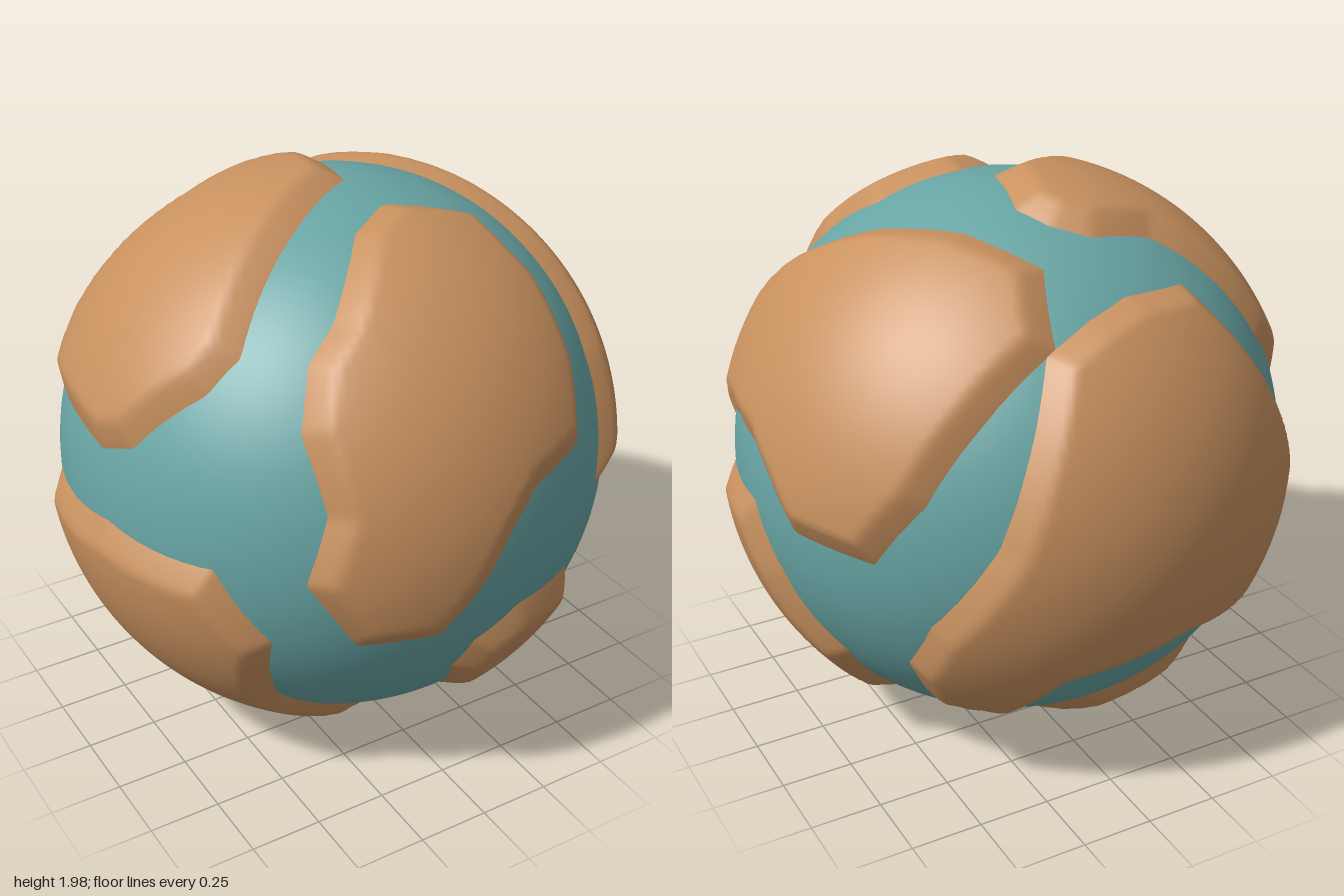
import * as THREE from 'three';
import { mergeVertices } from 'three/addons/utils/BufferGeometryUtils.js';

const SEA = 0.945, LAND = 0.993, BEVEL = 0.09;
const rad = THREE.MathUtils.degToRad;

// Points given on a disc facing (azimuth, elevation), lifted onto the sea sphere
function lift(azimuth, elevation, flat) {
  const a = rad(azimuth), e = rad(elevation);
  const right = new THREE.Vector3(Math.cos(a), 0, -Math.sin(a));
  const out = new THREE.Vector3(Math.sin(a) * Math.cos(e), Math.sin(e), Math.cos(a) * Math.cos(e));
  const up = out.clone().cross(right);
  const points = [];
  for (let i = 0; i < flat.length; i += 2) {
    const [u, v] = [flat[i], flat[i + 1]];
    const w = Math.sqrt(Math.max(0, SEA * SEA - u * u - v * v));
    points.push(new THREE.Vector3().addScaledVector(right, u).addScaledVector(up, v)
      .addScaledVector(out, w).normalize());
  }
  return points;
}
const front = (...p) => lift(0, 0, p);
const side = (...p) => lift(90, 0, p);
const top = (...p) => lift(0, 90, p);
const bottom = (...p) => lift(0, -90, p);
const backHigh = (...p) => lift(215, 25, p);
const backLow = (...p) => lift(145, -30, p);

// Coastline of each raised plate
const plates = {
  frontPlate: [
    ...front(-0.31, 0.72, -0.42, 0.63, -0.5, 0.46, -0.48, 0.23, -0.55, 0, -0.4, -0.25, -0.14, -0.255,
      0, -0.07, 0.1, 0.09, 0.2, 0.19, 0.43, 0.23, 0.49, 0.46, 0.47, 0.67),
    ...top(0.42, -0.4, 0.36, -0.25, 0.06, -0.215, -0.1, -0.31),
  ],
  upperLeftSidePlate: [
    ...side(-0.75, 0, -0.53, -0.02, -0.39, 0.15, -0.19, 0.21, 0.01, 0.2, 0.14, 0.12, 0.27, -0.01,
      0.56, -0.02, 0.67, 0.2, 0.7, 0.44),
    ...top(0.2, 0.68, 0.13, 0.48, 0.28, 0.24, 0.45, -0.03, 0.57, -0.29),
    ...front(0.63, 0.4),
  ],
  lowerLeftSidePlate: [
    ...front(0.06, -0.72, -0.03, -0.48, 0.01, -0.35, 0.17, -0.25, 0.43, -0.245, 0.51, -0.39, 0.62, -0.435),
    ...side(-0.51, -0.39, -0.44, -0.21, -0.29, 0, 0.02, 0, 0.14, -0.21, 0.29, -0.49),
    ...bottom(0.554, -0.23, 0.2, 0.14, 0.15, 0.27),
  ],
  backPlate: [
    ...backHigh(-0.58, 0.376, -0.43, 0.41, -0.28, 0.42, -0.04, 0.36, 0.11, 0.01, 0.3, -0.365,
      0.165, -0.62, 0.05, -0.76),
    ...backLow(0.62, -0.055, 0.3, -0.044, 0.094, -0.276, -0.18, -0.19, -0.22, 0.04, -0.127, 0.26, 0.09, 0.54),
  ],
  upperRightSidePlate: [
    ...top(-0.08, 0.41, 0.03, 0.34, 0.09, 0.23, 0.03, -0.03, -0.25, -0.2, -0.57, -0.42),
    ...front(-0.68, 0.52, -0.86, 0.31),
    ...backHigh(0.8, 0.05, 0.425, -0.127, 0.265, 0.05),
    ...top(-0.31, 0.39),
  ],
  lowerRightSidePlate: [
    ...front(-0.93, 0.03, -0.76, 0.01, -0.62, -0.25, -0.6, -0.4, -0.52, -0.59, -0.15, -0.8),
    ...bottom(-0.07, 0.19, -0.45, 0.05, -0.74, -0.1),
    ...backHigh(0.425, -0.585, 0.58, -0.32),
  ],
  bottomPlate: bottom(0.18, -0.15, 0.03, 0.01, -0.25, -0.02, -0.49, -0.12, -0.64, -0.42, -0.47, -0.53,
    -0.28, -0.66, 0.03, -0.63, 0.1, -0.4),
};

// Signed distance to a flat polygon, positive inside
function insideDistance(x, y, poly) {
  let best = Infinity, inside = false;
  for (let i = 0, j = poly.length - 1; i < poly.length; j = i++) {
    const [ax, ay] = poly[i], [bx, by] = poly[j];
    const dx = bx - ax, dy = by - ay;
    const t = THREE.MathUtils.clamp(((x - ax) * dx + (y - ay) * dy) / (dx * dx + dy * dy), 0, 1);
    best = Math.min(best, Math.hypot(x - ax - t * dx, y - ay - t * dy));
    if ((ay > y) !== (by > y) && x < ax + (dx * (y - ay)) / dy) inside = !inside;
  }
  return inside ? best : -best;
}

// Patch of a fine sphere raised inside the coastline, with a sloping rim that dips under the sea
function plateGeometry(outline, sphere) {
  const axis = outline.reduce((s, p) => s.add(p), new THREE.Vector3()).normalize();
  const toAxis = new THREE.Quaternion().setFromUnitVectors(axis, new THREE.Vector3(0, 0, 1));
  const flatten = (p) => {
    const q = p.clone().applyQuaternion(toAxis);
    const k = Math.acos(THREE.MathUtils.clamp(q.z, -1, 1)) / (Math.hypot(q.x, q.y) || 1);
    return [q.x * k, q.y * k];
  };
  const poly = outline.map(flatten);
  const pos = sphere.attributes.position, index = sphere.index;
  const depth = [], moved = [], kept = [];
  const p = new THREE.Vector3();
  for (let i = 0; i < pos.count; i++) {
    p.fromBufferAttribute(pos, i).normalize();
    depth[i] = insideDistance(...flatten(p), poly);
    const slope = THREE.MathUtils.clamp(depth[i] / BEVEL, -0.4, 1);
    p.multiplyScalar(SEA + (LAND - SEA) * slope);
    moved.push(p.x, p.y, p.z);
  }
  for (let i = 0; i < index.count; i += 3) {
    const tri = [index.getX(i), index.getX(i + 1), index.getX(i + 2)];
    if (tri.some((v) => depth[v] > -0.02)) kept.push(...tri);
  }
  const geometry = new THREE.BufferGeometry();
  geometry.setAttribute('position', new THREE.Float32BufferAttribute(moved, 3));
  geometry.setIndex(kept);
  geometry.computeVertexNormals();
  return geometry;
}

export function createModel() {
  const land = new THREE.MeshStandardMaterial({ color: 0xc8915f });
  land.name = 'land';
  const sea = new THREE.MeshStandardMaterial({ color: 0x69a5a5 });
  sea.name = 'sea';

  const planet = new THREE.Group();
  planet.name = 'planet';
  planet.position.y = 0.995;

  // Sea ball
  const ocean = new THREE.Mesh(new THREE.SphereGeometry(SEA, 96, 64), sea);
  ocean.name = 'ocean';
  planet.add(ocean);

  // Raised plates
  let sphere = new THREE.IcosahedronGeometry(1, 48);
  sphere.deleteAttribute('uv');
  sphere.deleteAttribute('normal');
  sphere = mergeVertices(sphere, 1e-4);
  for (const [name, outline] of Object.entries(plates)) {
    const plate = new THREE.Mesh(plateGeometry(outline, sphere), land);
    plate.name = name;
    planet.add(plate);
  }

  const model = new THREE.Group();
  model.name = 'model';
  model.add(planet);
  return model;
}
